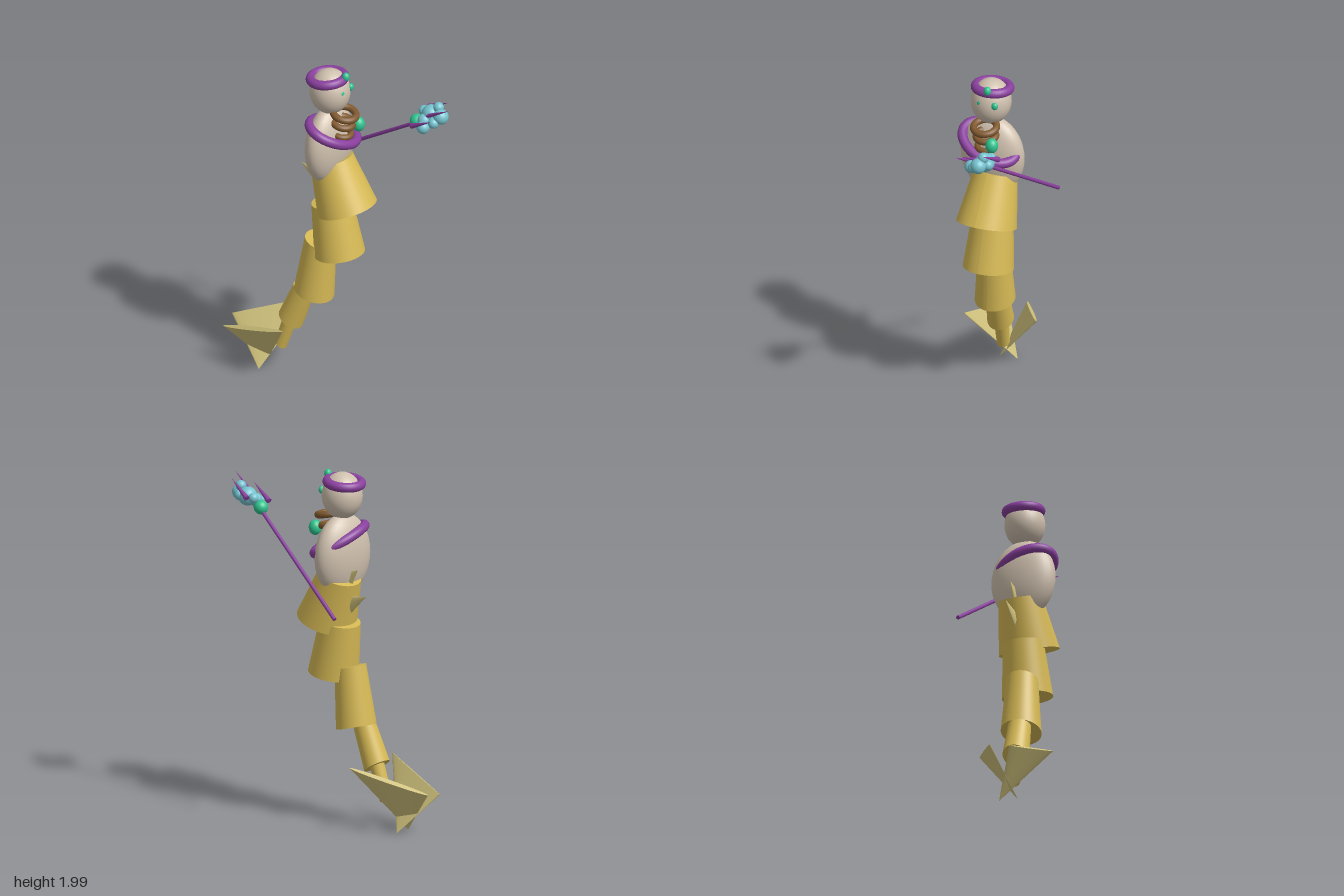
import * as THREE from 'three';

const V = (x, y, z) => new THREE.Vector3(x, y, z);
const mat = (name, color) => {
  const m = new THREE.MeshStandardMaterial({ color });
  m.name = name;
  return m;
};

export function createModel() {
  const root = new THREE.Group();
  root.name = 'merfolkFigure';
  const skin = mat('skin', 0xcfc0ae);
  const gold = mat('tailGold', 0xd6b955);
  const finMat = mat('finKhaki', 0xd0c27c);
  const purple = mat('purple', 0x8a409e);
  const brown = mat('bronze', 0x80592f);
  const green = mat('greenGem', 0x30c48f);
  const cyan = mat('cyanCoral', 0x76c3cf);

  const add = (name, geometry, material, parent = root) => {
    const mesh = new THREE.Mesh(geometry, material);
    mesh.name = name;
    parent.add(mesh);
    return mesh;
  };
  const group = (name) => {
    const g = new THREE.Group();
    g.name = name;
    root.add(g);
    return g;
  };
  const ball = (name, material, [x, y, z], [rx, ry = rx, rz = rx], parent) => {
    const m = add(name, new THREE.SphereGeometry(1, 32, 20), material, parent);
    m.position.set(x, y, z);
    m.scale.set(rx, ry, rz);
    return m;
  };
  // Flat ring lying around a vertical axis, tipped front-to-back
  const ring = (name, material, [x, y, z], R, r, tip, parent) => {
    const m = add(name, new THREE.TorusGeometry(R, r, 16, 48), material, parent);
    m.position.set(x, y, z);
    m.rotation.x = Math.PI / 2 + tip;
    return m;
  };
  // Cone whose base spans edge a-b, flattened to the given half thickness
  const blade = (name, material, a, b, tip, thick, parent) => {
    const mid = a.clone().add(b).multiplyScalar(0.5);
    const X = a.clone().sub(b).multiplyScalar(0.5);
    const Y = tip.clone().sub(mid);
    const Z = X.clone().cross(Y).normalize().multiplyScalar(thick);
    const g = new THREE.ConeGeometry(1, 1, 24).translate(0, 0.5, 0);
    g.applyMatrix4(new THREE.Matrix4().makeBasis(X, Y, Z).setPosition(mid));
    return add(name, g, material, parent);
  };
  const rod = (name, material, a, b, ra, rb, parent) => {
    const d = b.clone().sub(a);
    const m = add(name, new THREE.CylinderGeometry(rb, ra, d.length(), 16), material, parent);
    m.position.copy(a).addScaledVector(d, 0.5);
    m.quaternion.setFromUnitVectors(V(0, 1, 0), d.normalize());
    return m;
  };

  // Head, eyes and headband
  ball('head', skin, [-0.03, 1.868, -0.043], [0.113, 0.132, 0.115]);
  ring('headband', purple, [-0.03, 1.945, -0.06], 0.094, 0.027, -0.1);
  ball('foreheadGem', green, [-0.01, 1.978, 0.05], [0.021, 0.026, 0.021]);
  for (const x of [-0.053, 0.035]) ball('eye', green, [x, 1.893, 0.052], [0.019, 0.022, 0.016]);

  // Torso
  ball('torso', skin, [-0.025, 1.53, -0.05], [0.19, 0.235, 0.1]);

  // Slanted sash wrapped round the torso
  const sashPoints = [];
  for (let i = 0; i < 24; i++) {
    const a = (i / 24) * Math.PI * 2;
    const x = -0.03 + 0.157 * Math.cos(a), z = -0.022 + 0.113 * Math.sin(a);
    sashPoints.push(V(x, 1.595 - 0.33 * x - 0.4 * z, z));
  }
  const sashCurve = new THREE.CatmullRomCurve3(sashPoints, true);
  add('sash', new THREE.TubeGeometry(sashCurve, 80, 0.028, 14, true), purple);

  // Stacked necklaces and pendant
  const necklaces = group('necklaces');
  [
    [1.75, 0.052, 0.064, 0.02],
    [1.69, 0.04, 0.056, 0.019],
    [1.625, 0.034, 0.05, 0.017],
    [1.57, 0.034, 0.043, 0.015],
  ].forEach(([y, z, R, r]) => ring('necklace', brown, [-0.023, y, z], R, r, 0.22, necklaces));
  ball('pendant', green, [0.04, 1.67, 0.1], [0.036, 0.043, 0.036]);

  // Tail: overlapping frustums, each end given as [x, y, z, radius, tip]
  const tail = group('tail');
  const segment = (top, bottom) => {
    const g = new THREE.CylinderGeometry(1, 1, 1, 40);
    const p = g.attributes.position;
    for (let i = 0; i < p.count; i++) {
      const [x, y, z, r, tip] = p.getY(i) > 0 ? top : bottom;
      const s = p.getZ(i) * r;
      p.setXYZ(i, x + p.getX(i) * r, y + s * Math.sin(tip), z + s * Math.cos(tip));
    }
    g.computeVertexNormals();
    add('tailSegment', g, gold, tail);
  };
  segment([-0.005, 1.42, -0.05, 0.122, 0.34], [-0.01, 1.142, 0.06, 0.17, 0.34]);
  segment([-0.018, 1.155, -0.04, 0.114, 0.18], [-0.02, 0.845, 0.016, 0.142, 0.17]);
  segment([-0.04, 0.9, -0.098, 0.089, -0.25], [-0.05, 0.565, -0.135, 0.114, -0.26]);
  segment([-0.065, 0.577, -0.188, 0.064, -0.26], [-0.08, 0.357, -0.27, 0.076, -0.58]);
  segment([-0.078, 0.365, -0.272, 0.042, -0.5], [-0.092, 0.18, -0.33, 0.038, -0.7]);

  // Tail flukes and small dorsal spines
  const fins = group('tailFins');
  blade('leftFluke', finMat, V(0.135, 0.385, -0.275), V(-0.1, 0.26, -0.66), V(-0.165, 0.01, -0.43), 0.014, fins);
  blade('rightFluke', finMat, V(-0.27, 0.385, -0.19), V(-0.21, 0.24, -0.64), V(-0.06, 0.01, -0.45), 0.014, fins);
  blade('dorsalSpine', finMat, V(-0.01, 1.45, -0.11), V(-0.01, 1.37, -0.14), V(-0.01, 1.47, -0.19), 0.012, fins);
  blade('dorsalSpine', finMat, V(-0.01, 1.31, -0.13), V(-0.01, 1.22, -0.14), V(-0.01, 1.33, -0.255), 0.012, fins);

  // Staff with a pronged coral head
  const staff = group('staff');
  rod('staffShaft', purple, V(0.262, 1.258, -0.292), V(0.145, 1.785, 0.49), 0.011, 0.01, staff);
  [
    [V(0.15, 1.78, 0.45), V(0.123, 1.903, 0.655)],
    [V(0.07, 1.76, 0.44), V(0.05, 1.842, 0.585)],
    [V(0.238, 1.805, 0.44), V(0.215, 1.888, 0.585)],
  ].forEach(([a, b]) => rod('prong', purple, a, b, 0.016, 0, staff));
  ball('staffGem', green, [0.155, 1.745, 0.415], [0.04], staff);
  [
    [0.1, 1.755, 0.495, 0.036], [0.185, 1.8, 0.49, 0.053],
    [0.175, 1.81, 0.562, 0.044], [0.193, 1.8, 0.435, 0.029],
    [0.135, 1.78, 0.54, 0.03], [0.193, 1.853, 0.535, 0.03],
    [0.215, 1.805, 0.52, 0.03], [0.14, 1.775, 0.475, 0.038],
  ].forEach(([x, y, z, r]) => ball('coralBead', cyan, [x, y, z], [r], staff));

  return root;
}
